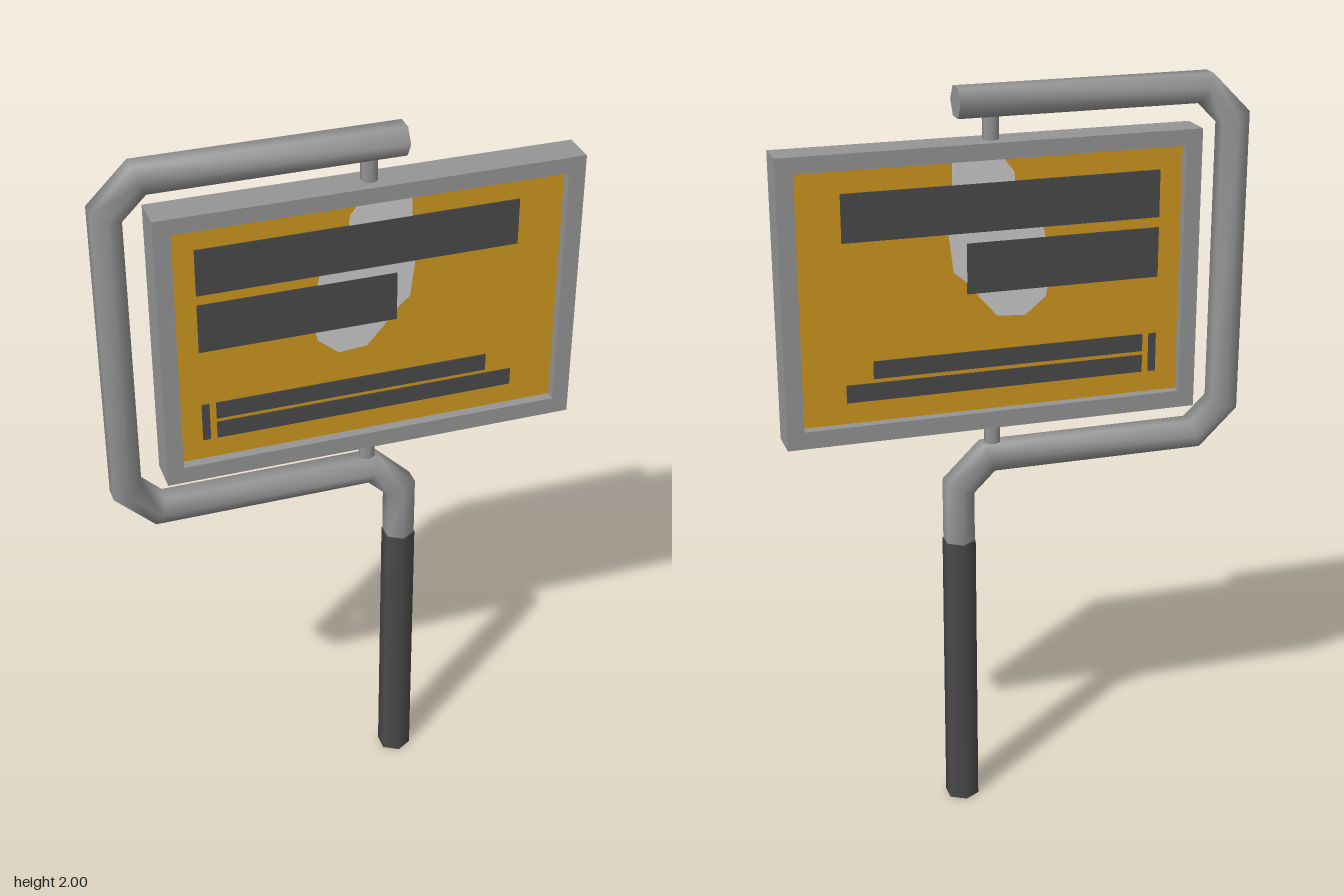
import * as THREE from 'three';

const material = (name, color) => {
  const m = new THREE.MeshStandardMaterial({ color });
  m.name = name;
  return m;
};

// Six-sided tube along a polyline in the xy plane, with mitred corners and flat end caps
function mitredTube(points, halfWidth, halfDepth) {
  const pts = points.map(([x, y]) => new THREE.Vector2(x, y));
  const dirs = pts.slice(1).map((p, i) => p.clone().sub(pts[i]).normalize());
  const pos = [], idx = [], sides = 6, last = pts.length - 1;
  const addRing = (i) => {
    const a = dirs[Math.max(i - 1, 0)], b = dirs[Math.min(i, last - 1)];
    const t = a.clone().add(b).normalize();
    const stretch = halfWidth / Math.sin(Math.PI / 3) / t.dot(a);
    for (let s = 0; s < sides; s++) {
      const ang = (s / sides) * Math.PI * 2;
      const n = Math.sin(ang) * stretch;
      pos.push(pts[i].x - t.y * n, pts[i].y + t.x * n, Math.cos(ang) * halfDepth);
    }
  };
  for (let i = 0; i <= last; i++) addRing(i);
  for (let i = 0; i < last; i++) {
    for (let s = 0; s < sides; s++) {
      const a = i * sides + s, b = i * sides + (s + 1) % sides;
      idx.push(a, a + sides, b, b, a + sides, b + sides);
    }
  }
  // separate cap vertices keep the end edges sharp
  const start = pos.length / 3;
  addRing(0);
  addRing(last);
  const end = start + sides;
  for (let s = 1; s < sides - 1; s++) {
    idx.push(start, start + s, start + s + 1);
    idx.push(end, end + s + 1, end + s);
  }
  const g = new THREE.BufferGeometry();
  g.setAttribute('position', new THREE.Float32BufferAttribute(pos, 3));
  g.setIndex(idx);
  g.computeVertexNormals();
  return g;
}

export function createModel() {
  const metal = material('grey metal', 0x959595);
  const dark = material('dark grey', 0x4a4a4a);
  const amber = material('amber panel', 0xd09820);
  const pale = material('pale grey', 0xcdcdcd);

  const model = new THREE.Group();
  model.name = 'hangingSign';
  const add = (name, geometry, mat, parent = model) => {
    const mesh = new THREE.Mesh(geometry, mat);
    mesh.name = name;
    parent.add(mesh);
    return mesh;
  };
  const box = (name, x0, x1, y0, y1, z0, z1, mat, parent) =>
    add(name, new THREE.BoxGeometry(x1 - x0, y1 - y0, z1 - z0), mat, parent)
      .position.set((x0 + x1) / 2, (y0 + y1) / 2, (z0 + z1) / 2);

  // Post sleeve and bent pipe
  add('postSleeve', new THREE.CylinderGeometry(0.046, 0.047, 0.785, 6), dark)
    .position.set(0.159, 0.3925, 0);
  add('bentPipe', mitredTube([
    [0.159, 0.78], [0.159, 0.94], [0.079, 1.018], [-0.505, 1.018],
    [-0.588, 1.098], [-0.588, 1.88], [-0.505, 1.9625], [0.155, 1.9625],
  ], 0.0375, 0.046), metal);

  // Pins holding the sign above and below
  for (const [name, y] of [['lowerPin', 1.08], ['upperPin', 1.895]]) {
    add(name, new THREE.CylinderGeometry(0.022, 0.022, 0.08, 6), metal).position.set(0.065, y, 0);
  }

  // Sign frame: a rectangle with a rectangular opening
  const rect = (S, x0, x1, y0, y1) => {
    const s = new S();
    s.moveTo(x0, y0).lineTo(x1, y0).lineTo(x1, y1).lineTo(x0, y1).closePath();
    return s;
  };
  const outline = rect(THREE.Shape, -0.487, 0.62, 1.112, 1.865);
  outline.holes.push(rect(THREE.Path, -0.443, 0.575, 1.158, 1.823));
  const frame = new THREE.ExtrudeGeometry(outline, { depth: 0.094, bevelEnabled: false });
  add('signFrame', frame.translate(0, 0, -0.047), metal);

  // Recessed panel
  const face = 0.02;
  box('signPanel', -0.445, 0.577, 1.156, 1.825, -face, face, amber);

  // Pale patch and dark bars, repeated on both faces
  const patch = new THREE.Shape([
    [0.04, 1.822], [0.01, 1.785], [0.005, 1.74], [-0.065, 1.65], [-0.075, 1.6],
    [-0.085, 1.5], [-0.075, 1.45], [-0.02, 1.405], [0.055, 1.41], [0.1, 1.46],
    [0.135, 1.505], [0.17, 1.535], [0.182, 1.63], [0.172, 1.76], [0.17, 1.822],
  ].map(([x, y]) => new THREE.Vector2(x, y)));
  const bars = [
    [-0.383, 0.457, 1.635, 1.76], [-0.383, 0.135, 1.475, 1.608],
    [-0.383, -0.363, 1.215, 1.32], [-0.345, 0.385, 1.273, 1.32],
    [-0.345, 0.457, 1.215, 1.262],
  ];
  for (const side of [1, -1]) {
    const art = new THREE.Group();
    art.name = side > 0 ? 'frontArtwork' : 'backArtwork';
    model.add(art);
    const plate = new THREE.ExtrudeGeometry(patch, { depth: 0.002, bevelEnabled: false });
    add('palePatch', plate.translate(0, 0, side > 0 ? face : -face - 0.002), pale, art);
    bars.forEach(([x0, x1, y0, y1], i) => {
      const z = side > 0 ? face : -face - 0.004;
      box('darkBar' + (i + 1), x0, x1, y0, y1, z, z + 0.004, dark, art);
    });
  }
  return model;
}
